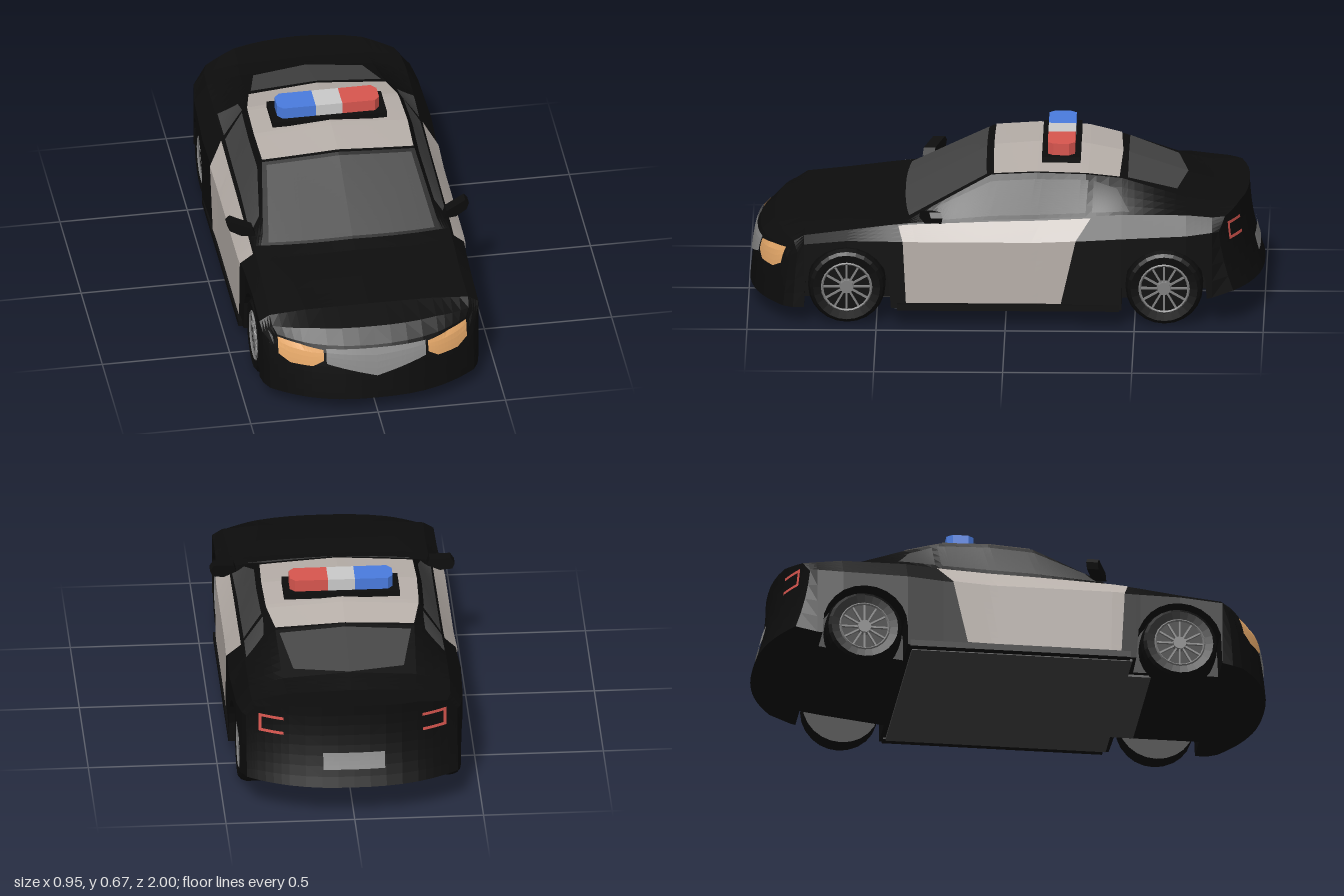
import * as THREE from 'three';

const mat = (color) => new THREE.MeshStandardMaterial({ color, flatShading: true, side: THREE.DoubleSide });
const M = {
  black: mat(0x0d0d0d), white: mat(0xb8b0aa), glass: mat(0x444444), grille: mat(0x8c8c8c), amber: mat(0xe8aa6a),
  blue: mat(0x4a7ce0), red: mat(0xd9564f), lamp: mat(0xbdbdbd), floor: mat(0x484848), rim: mat(0x808080)
};

// Body stations: z, halfWidth, sideTopY, beltX, beltY, roofX, roofY, topY, bottomY, plan bend, end lean
const T = [
  [0.955, 0.40, 0.27, 0.37, 0.30, 0.25, 0.29, 0.285, 0.065, 0.17, 0.04],
  [0.90, 0.42, 0.29, 0.385, 0.325, 0.25, 0.335, 0.335, 0.065, 0.12, 0.03],
  [0.78, 0.43, 0.325, 0.39, 0.35, 0.25, 0.36, 0.362, 0.07, 0, 0],
  [0.615, 0.43, 0.34, 0.385, 0.37, 0.27, 0.38, 0.383, 0.07, 0, 0],
  [0.46, 0.435, 0.34, 0.385, 0.39, 0.33, 0.393, 0.398, 0.07, 0, 0],
  [0.40, 0.44, 0.34, 0.385, 0.40, 0.348, 0.402, 0.41, 0.07, 0.04, 0],
  [0.06, 0.44, 0.34, 0.385, 0.415, 0.30, 0.572, 0.59, 0.07, 0.01, 0],
  [-0.12, 0.44, 0.34, 0.385, 0.42, 0.305, 0.582, 0.605, 0.07, 0, 0],
  [-0.31, 0.445, 0.35, 0.385, 0.43, 0.30, 0.575, 0.598, 0.07, 0, 0],
  [-0.45, 0.45, 0.36, 0.39, 0.44, 0.27, 0.55, 0.57, 0.07, 0, 0],
  [-0.70, 0.44, 0.37, 0.39, 0.44, 0.26, 0.47, 0.487, 0.10, 0, 0],
  [-0.80, 0.425, 0.38, 0.385, 0.43, 0.25, 0.455, 0.462, 0.115, 0, 0],
  [-0.94, 0.41, 0.38, 0.37, 0.43, 0.25, 0.457, 0.465, 0.14, 0.14, -0.06]
];
const FRONT = T[0], REAR = T[T.length - 1];
const WHEEL_Z = 0.615, ARCH = 0.165;

function station(z) {
  let i = 0;
  while (i < T.length - 2 && z < T[i + 1][0]) i++;
  const t = (z - T[i][0]) / (T[i + 1][0] - T[i][0]);
  return T[i].map((v, n) => v + (T[i + 1][n] - v) * t);
}

// Curve the ends in plan and lean them in profile
function place(st, x, y) {
  const [z, , , , , , , ty, yB, bend, lean] = st;
  const t = THREE.MathUtils.clamp((ty - y) / (ty - yB), 0, 1);
  const side = z > 0.5 || z < -0.5 ? -Math.sign(z) : -1;
  return [x, y, z + side * bend * (Math.abs(x) / 0.44) ** 2.5 + lean * t ** (z > 0 ? 0.5 : 2)];
}

// Point on the right-hand half shell: k runs floor, wheel well, side, shoulder, window line, roof
function shell(z, k) {
  const st = station(z);
  const [, w, my, bx, by, rx, ry, ty, yB] = st;
  const d = Math.abs(Math.abs(z) - WHEEL_Z);
  const arch = d < ARCH ? Math.max(yB, 0.15 + Math.sqrt(ARCH * ARCH - d * d)) : yB;
  const P = [[0, yB], [0.3, yB], [0.3, arch], [w, arch], [w, my], [bx, by], [rx, ry], [0, ty]];
  const i = Math.min(6, Math.floor(k)), t = k - i;
  return place(st, P[i][0] + (P[i + 1][0] - P[i][0]) * t, P[i][1] + (P[i + 1][1] - P[i][1]) * t);
}

function grid(nu, nv, fn, s = 1, flip = s < 0) {
  const pos = [];
  const pt = (i, j) => { const p = fn(i, j); return new THREE.Vector3(p[0] * s, p[1], p[2]); };
  const tri = (a, b, c) => {
    if (new THREE.Triangle(a, b, c).getArea() < 1e-8) return;
    for (const p of flip ? [a, c, b] : [a, b, c]) pos.push(p.x, p.y, p.z);
  };
  for (let i = 0; i < nu; i++) for (let j = 0; j < nv; j++) {
    const a = pt(i, j), b = pt(i + 1, j), c = pt(i + 1, j + 1), d = pt(i, j + 1);
    tri(a, b, c);
    tri(a, c, d);
  }
  const g = new THREE.BufferGeometry();
  g.setAttribute('position', new THREE.Float32BufferAttribute(pos, 3));
  g.computeVertexNormals();
  return g;
}

export function createModel() {
  const car = new THREE.Group();
  car.name = 'patrolCar';
  const add = (name, geo, m, parent = car) => {
    const mesh = new THREE.Mesh(geo, m);
    mesh.name = name;
    parent.add(mesh);
    return mesh;
  };
  const box = (name, size, at, m, parent) => {
    const b = add(name, new THREE.BoxGeometry(...size), m, parent);
    b.position.set(...at);
    return b;
  };

  // Body shell with wheel arches and closed ends
  const zs = T.map((r) => r[0]);
  for (const c of [WHEEL_Z, -WHEEL_Z]) for (let a = 0; a <= 12; a++) zs.push(c + ARCH * Math.cos(a * Math.PI / 12));
  for (let z = -0.4; z < 0.45; z += 0.05) zs.push(z);
  zs.sort((a, b) => b - a);
  for (const s of [1, -1]) {
    add('bodyShell', grid(zs.length - 1, 28, (i, j) => shell(zs[i], j / 4), s), M.black);
    for (const st of [FRONT, REAR]) {
      const cap = (i, j) => {
        const [x, y] = shell(st[0], 7 - i / 4);
        return place(st, x, st[8] + (y - st[8]) * j / 8);
      };
      add(st === FRONT ? 'frontFascia' : 'rearFascia', grid(12, 8, cap, s, (s < 0) !== (st === REAR)), M.black);
    }
  }

  // Panels laid on the shell: z edges and k edges, each as [at lower k / front, at upper k / rear]
  const panel = (name, m, zFront, zRear, kLow, kHigh, off) => {
    const N = 20, mix = THREE.MathUtils.lerp;
    for (const s of [1, -1]) add(name, grid(N, N, (i, j) => {
      const u = i / N, v = j / N;
      const z = mix(mix(zFront[0], zFront[1], v), mix(zRear[0], zRear[1], v), u);
      const p = shell(z, mix(mix(kLow[0], kLow[1], u), mix(kHigh[0], kHigh[1], u), v));
      return p.map((c, n) => p[0] === 0 && n === 0 ? 0 : c + off[n]);
    }, s), m);
  };
  panel('door', M.white, [0.415, 0.43], [-0.215, -0.33], [3.08, 3.08], [4.92, 4.92], [0.005, 0.002, 0]);
  panel('sideWindow', M.glass, [0.32, 0.27], [-0.31, -0.32], [5.08, 5.08], [5.84, 5.86], [0.005, 0.003, 0]);
  panel('quarterWindow', M.glass, [-0.335, -0.34], [-0.48, -0.43], [5.08, 5.08], [5.86, 5.7], [0.005, 0.003, 0]);
  panel('windshield', M.glass, [0.39, 0.39], [0.075, 0.075], [6.06, 6.06], [7, 7], [0, 0.004, 0.003]);
  panel('roofPanel', M.white, [0.05, 0.05], [-0.44, -0.45], [6.01, 6.01], [7, 7], [0, 0.004, 0]);
  panel('rearWindow', M.glass, [-0.47, -0.47], [-0.66, -0.70], [6.05, 6.18], [7, 7], [0, 0.004, -0.002]);

  // Fascia details given as x range with lower and upper edge heights
  const detail = (name, m, st, x0, x1, lo, hi, both = true) => {
    const dz = st === FRONT ? 0.006 : -0.006;
    for (const s of both ? [1, -1] : [1]) add(name, grid(12, 4, (i, j) => {
      const x = x0 + (x1 - x0) * i / 12, t = i / 12;
      const p = place(st, x, lo(t) + (hi(t) - lo(t)) * j / 4);
      return [p[0], p[1], p[2] + dz];
    }, s, (s < 0) !== (st === REAR)), m);
  };
  detail('grille', M.grille, FRONT, 0, 0.195, (t) => 0.165 + 0.055 * t, () => 0.28);
  detail('headlight', M.amber, FRONT, 0.205, 0.37,
    (t) => Math.max(0.205, 0.232 - 0.11 * t, 0.205 + 0.1 * (t - 0.75)), (t) => 0.275 + 0.02 * t);
  detail('numberPlate', M.grille, REAR, -0.12, 0.12, () => 0.21, () => 0.275, false);
  detail('tailLightTop', M.red, REAR, 0.27, 0.365, () => 0.395, () => 0.407);
  detail('tailLightBottom', M.red, REAR, 0.27, 0.365, () => 0.335, () => 0.347);
  detail('tailLightOuter', M.red, REAR, 0.353, 0.365, () => 0.335, () => 0.407);

  // Floor pan and side skirts
  box('floorPan', [0.84, 0.01, 0.86], [0, 0.066, 0], M.floor);
  box('floorPanFront', [0.56, 0.01, 0.1], [0, 0.066, 0.47], M.floor);
  for (const s of [1, -1]) box('sideSkirt', [0.04, 0.025, 0.86], [s * 0.432, 0.077, -0.01], M.black);

  // Wheels, axle along x
  const tyreProfile = [[0.1, 0.045], [0.13, 0.05], [0.142, 0.04], [0.15, 0.02], [0.15, -0.055], [0.1, -0.055]]
    .map((p) => new THREE.Vector2(...p)).reverse();
  for (const s of [1, -1]) for (const z of [WHEEL_Z, -WHEEL_Z]) {
    const wheel = new THREE.Group();
    wheel.name = 'wheel';
    add('tyre', new THREE.LatheGeometry(tyreProfile, 24), M.black, wheel);
    add('wheelDisc', new THREE.CylinderGeometry(0.102, 0.102, 0.07, 24), M.black, wheel).position.y = -0.01;
    add('rimRing', new THREE.TorusGeometry(0.095, 0.005, 4, 24).rotateX(Math.PI / 2), M.rim, wheel).position.y = 0.043;
    add('hub', new THREE.CylinderGeometry(0.026, 0.03, 0.02, 10), M.rim, wheel).position.y = 0.035;
    for (let i = 0; i < 12; i++) {
      const spoke = add('spoke', new THREE.BoxGeometry(0.07, 0.01, 0.007).translate(0.06, 0.035, 0), M.rim, wheel);
      spoke.rotation.y = i * Math.PI / 6;
    }
    wheel.position.set(s * 0.38, 0.15, z);
    wheel.rotation.z = -s * Math.PI / 2;
    car.add(wheel);
  }

  // Door mirrors, swept back towards the tip
  for (const s of [1, -1]) {
    const outline = [[0.37, 0.42], [0.42, 0.41], [0.465, 0.425], [0.475, 0.45], [0.46, 0.47], [0.38, 0.45]];
    const shape = new THREE.Shape(outline.map(([x, y]) => new THREE.Vector2(s * x, y)));
    const g = new THREE.ExtrudeGeometry(shape, { depth: 0.045, bevelEnabled: false });
    const p = g.attributes.position;
    for (let i = 0; i < p.count; i++) p.setZ(i, p.getZ(i) + 0.29 - 0.45 * (Math.abs(p.getX(i)) - 0.37));
    g.computeVertexNormals();
    add('doorMirror', g, M.black);
  }

  // Roof light bar with chamfered ends
  box('lightBarBase', [0.45, 0.022, 0.15], [0, 0.607, -0.213], M.black);
  box('lightBarCentre', [0.105, 0.05, 0.106], [0, 0.64, -0.213], M.lamp);
  for (const s of [1, -1]) {
    const plan = [[0.052, -0.053], [0.18, -0.053], [0.2, -0.03], [0.2, 0.03], [0.18, 0.053], [0.052, 0.053]];
    const shape = new THREE.Shape(plan.map(([x, y]) => new THREE.Vector2(s * x, y)));
    const g = new THREE.ExtrudeGeometry(shape, { depth: 0.05, bevelEnabled: false }).rotateX(-Math.PI / 2);
    add(s > 0 ? 'lightBarLeft' : 'lightBarRight', g, s > 0 ? M.red : M.blue).position.set(0, 0.615, -0.213);
  }
  return car;
}
